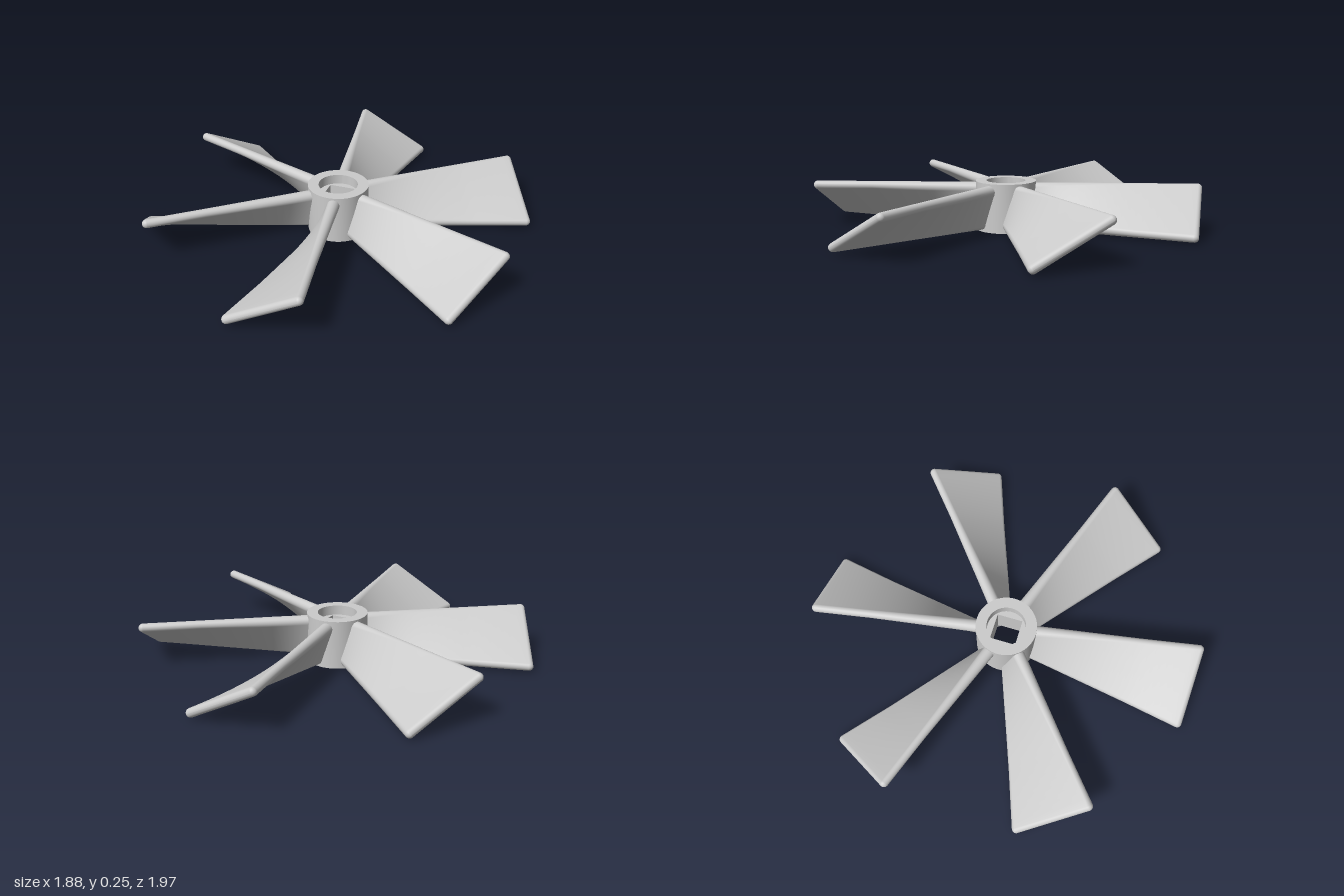
import * as THREE from 'three';
import { toCreasedNormals } from 'three/addons/utils/BufferGeometryUtils.js';

const HEIGHT = 0.25, HUB_R = 0.155, BORE_R = 0.1, BORE_DEPTH = 0.05, HOLE = 0.066;
const BLADES = 6, ARC = 10;

// Twisted blade along +z: rounded strips lofted outwards, steep at the hub, flatter at the tip
function bladeGeometry() {
  const stations = [];
  for (let i = 0; i <= 24; i++) {
    const k = i / 24;
    stations.push([0.12 + 0.858 * k, THREE.MathUtils.lerp(0.032, 0.022, Math.min(1, k * 1.5))]);
  }
  // rounded outer rim
  for (let i = 1; i <= 6; i++) {
    const a = (i / 6) * Math.PI / 2;
    stations.push([0.978 + 0.022 * Math.sin(a), 0.022 * Math.cos(a)]);
  }
  const pos = [], index = [], n = 2 * (ARC + 1);
  stations.forEach(([r, t], s) => {
    const full = Math.max(t, 0.022);
    const cx = 0.178 * r, cy = 0.115 - full;
    const len = Math.hypot(cx, cy), dx = cx / len, dy = cy / len;
    for (let j = 0; j < n; j++) {
      const end = j <= ARC ? 1 : -1;
      const a = -Math.PI / 2 + Math.PI * (j % (ARC + 1)) / ARC + (end < 0 ? Math.PI : 0);
      const u = t * Math.cos(a), v = t * Math.sin(a);
      const x = end * cx + u * dx - v * dy;
      const y = end * cy + u * dy + v * dx;
      pos.push(x, HEIGHT / 2 + y, Math.sqrt(r * r - x * x));
      if (s > 0) {
        const k = (j + 1) % n, a0 = (s - 1) * n, a1 = s * n;
        index.push(a0 + j, a0 + k, a1 + k, a0 + j, a1 + k, a1 + j);
      }
    }
  });
  const g = new THREE.BufferGeometry();
  g.setAttribute('position', new THREE.Float32BufferAttribute(pos, 3));
  g.setIndex(index);
  g.computeVertexNormals();
  return g;
}

export function createModel() {
  const group = new THREE.Group();
  const material = new THREE.MeshStandardMaterial({ color: 0xcccccc });
  const add = (name, geometry) => {
    const mesh = new THREE.Mesh(geometry, material);
    mesh.name = name;
    group.add(mesh);
    return mesh;
  };

  // Hub ring with a round recess at both ends
  const profile = [[HUB_R, 0], [HUB_R, HEIGHT], [BORE_R, HEIGHT], [BORE_R, 0], [HUB_R, 0]]
    .map(([x, y]) => new THREE.Vector2(x, y));
  add('hub', toCreasedNormals(new THREE.LatheGeometry(profile, 64), 0.6));

  // Core with the square shaft hole
  const disc = new THREE.Shape().absarc(0, 0, BORE_R, 0, Math.PI * 2);
  disc.holes.push(new THREE.Path([[-1, -1], [-1, 1], [1, 1], [1, -1]]
    .map(([x, y]) => new THREE.Vector2(x * HOLE, y * HOLE))));
  const core = new THREE.ExtrudeGeometry(disc, {
    depth: HEIGHT - 2 * BORE_DEPTH, bevelEnabled: false, curveSegments: 32,
  });
  core.rotateX(-Math.PI / 2).translate(0, BORE_DEPTH, 0);
  add('shaftSocket', core);

  // Blades
  const blade = bladeGeometry();
  for (let i = 0; i < BLADES; i++) {
    add(`blade${i + 1}`, blade).rotation.y = (i / BLADES) * Math.PI * 2;
  }
  return group;
}
